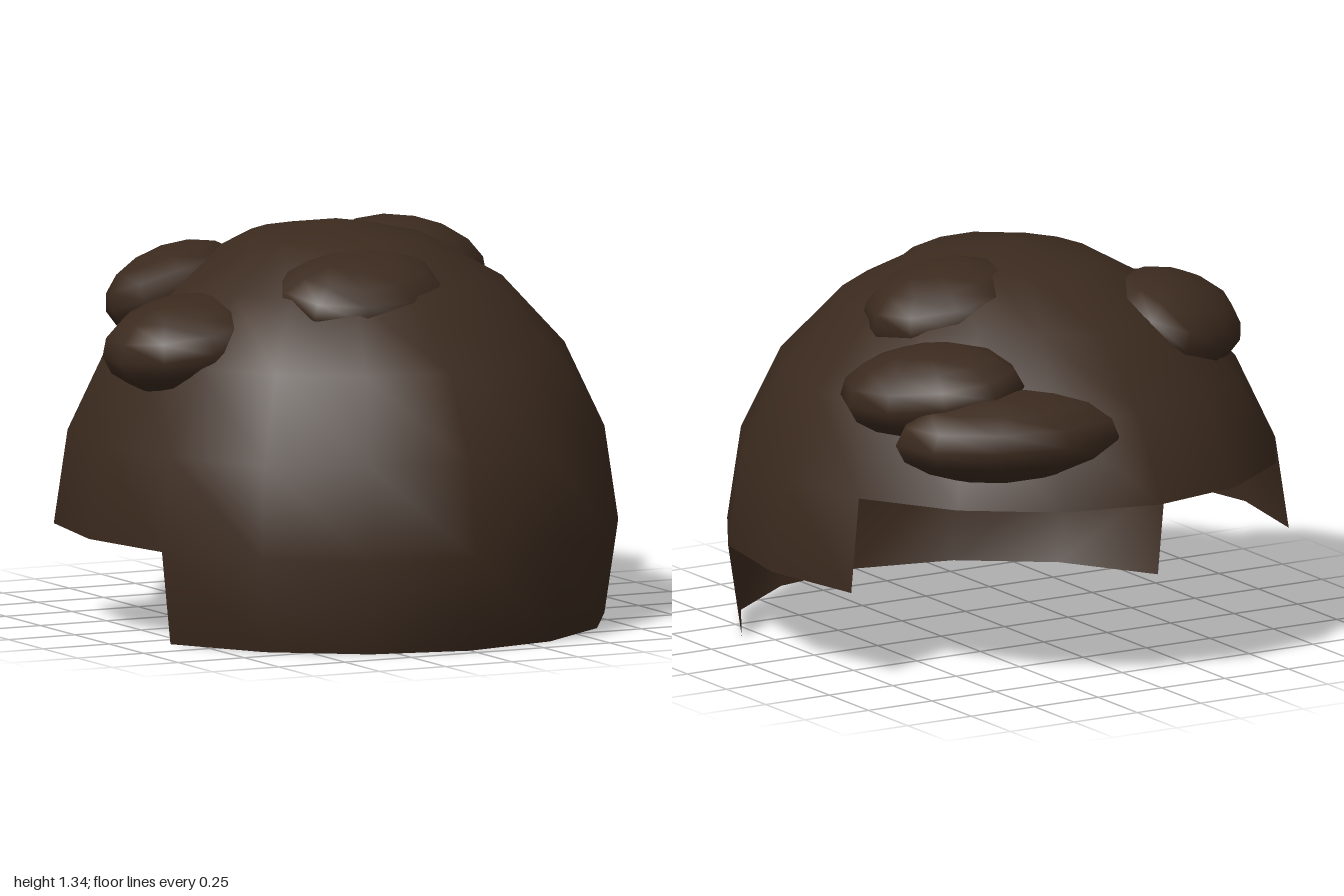
import * as THREE from 'three';

// Sphere cut away below a stepped edge that drops towards the front
function cutSphere() {
  const sphere = new THREE.SphereGeometry(1, 16, 10);
  const ring = Math.sin(Math.PI / 10);
  const side = Math.sin(Math.PI / 8);
  const position = sphere.attributes.position;
  const index = sphere.index.array;
  const kept = [];
  for (let i = 0; i < index.length; i += 3) {
    const corners = [index[i], index[i + 1], index[i + 2]];
    const y = corners.reduce((sum, c) => sum + position.getY(c), 0) / 3;
    const z = corners.reduce((sum, c) => sum + position.getZ(c), 0) / 3;
    const dome = y > ring;
    const middle = y > 0 && z > -side;
    const lower = y > -ring && z > side;
    if (dome || middle || lower) kept.push(...corners);
  }
  sphere.setIndex(kept);
  return sphere;
}

export function createModel() {
  const model = new THREE.Group();
  model.name = 'hair';
  const hair = new THREE.MeshStandardMaterial({ color: 0x3b2a1e, side: THREE.DoubleSide });
  hair.name = 'dark brown';

  // Open cap
  const shell = new THREE.Mesh(cutSphere().scale(0.933, 1.025, 1.025), hair);
  shell.name = 'hairShell';
  shell.position.set(0, 0.317, -0.025);
  model.add(shell);

  // Flattened tufts half sunk into the cap: name, centre, half sizes, [tilt x, yaw, tilt z]
  const tufts = [
    ['frontTuft', [-0.11, 1.14, 0.36], [0.31, 0.13, 0.25], [0.25, 0, 0.08]],
    ['rightSideTuft', [-0.62, 0.97, 0.07], [0.28, 0.16, 0.28], [0, 0.2, 0.17]],
    ['rightCrownTuft', [-0.42, 1.09, -0.38], [0.31, 0.15, 0.24], [-0.25, 0.75, 0.25]],
    ['leftCrownTuft', [0.31, 1.17, -0.11], [0.28, 0.15, 0.26], [0, 0, -0.2]],
    ['leftSideTuft', [0.55, 0.98, -0.43], [0.32, 0.15, 0.24], [0, -0.8, -0.15]],
    ['backTuft', [0.385, 0.85, -0.66], [0.41, 0.155, 0.26], [0, -0.2, 0]],
  ];
  const ball = new THREE.SphereGeometry(1, 10, 8);
  for (const [name, centre, size, turn] of tufts) {
    const tuft = new THREE.Mesh(ball, hair);
    tuft.name = name;
    tuft.position.set(...centre);
    tuft.scale.set(...size);
    tuft.rotation.set(...turn, 'ZXY');
    model.add(tuft);
  }
  return model;
}
